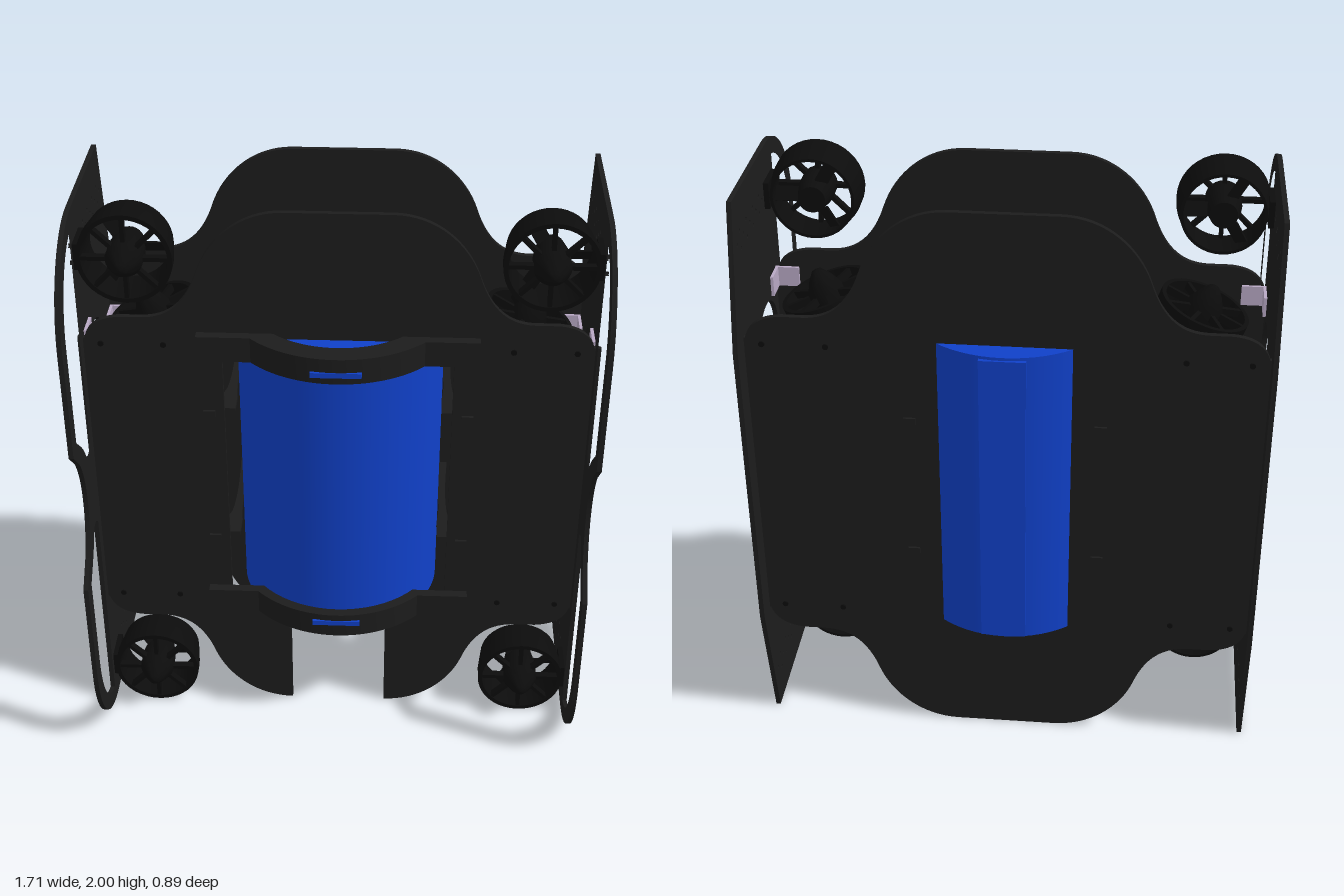
import * as THREE from 'three';
import { toCreasedNormals } from 'three/addons/utils/BufferGeometryUtils.js';

const mat = (color, extra = {}) => {
  const m = new THREE.MeshStandardMaterial({ color });
  return Object.assign(m, extra);
};

export function createModel() {
  const model = new THREE.Group();
  const black = mat(0x1c1c1c);
  const dark = mat(0x0c0c0c, { side: THREE.DoubleSide });
  const blue = mat(0x1040c8);
  const lilac = mat(0xb8a8c4);

  const add = (name, geo, material, parent = model) => {
    const mesh = new THREE.Mesh(geo, material);
    mesh.name = name;
    parent.add(mesh);
    return mesh;
  };
  const box = (name, w, h, d, x, y, z, material, parent) =>
    add(name, new THREE.BoxGeometry(w, h, d).translate(x, y, z), material, parent);
  const extrude = (shape, depth) => toCreasedNormals(
    new THREE.ExtrudeGeometry(shape, { depth, bevelEnabled: false, curveSegments: 20 }), 0.5);
  const mirrored = (pts, flip) => [...pts, ...pts.map(flip).reverse()];
  const flipY = p => new THREE.Vector2(p.x, 2 - p.y);
  const flipX = p => new THREE.Vector2(-p.x, p.y);
  const roundHole = (x, y, r) => new THREE.Path(
    Array.from({ length: 8 }, (_, i) => new THREE.Vector2(
      x + r * Math.cos(i * Math.PI / 4), y + r * Math.sin(i * Math.PI / 4))));

  // Side plates: drawn with z across and y up, then turned to face sideways
  const edge = new THREE.Path();
  edge.moveTo(-0.44, 1);
  edge.lineTo(-0.44, 1.52);
  edge.lineTo(-0.345, 2);
  edge.lineTo(0.13, 2);
  edge.bezierCurveTo(0.31, 2, 0.45, 1.84, 0.45, 1.65);
  edge.lineTo(0.45, 1.27);
  edge.lineTo(0.375, 1.195);
  edge.quadraticCurveTo(0.315, 1.11, 0.315, 1.0);
  const sideShape = new THREE.Shape(mirrored(edge.getPoints(16), flipY));

  // Handle openings
  const grip = new THREE.Path();
  grip.moveTo(0.193, 1.935);
  grip.bezierCurveTo(0.31, 1.91, 0.39, 1.78, 0.39, 1.64);
  grip.lineTo(0.39, 1.29);
  grip.lineTo(0.33, 1.235);
  grip.quadraticCurveTo(0.285, 1.19, 0.275, 1.165);
  grip.quadraticCurveTo(0.24, 1.12, 0.193, 1.17);
  const gripPts = grip.getPoints(14);
  sideShape.holes.push(new THREE.Path(gripPts), new THREE.Path(gripPts.map(flipY)));

  // Long window and rows of small holes
  const slot = new THREE.Path();
  slot.absarc(-0.043, 1.345, 0.145, 0, Math.PI);
  slot.absarc(-0.043, 0.665, 0.145, Math.PI, Math.PI * 2);
  sideShape.holes.push(slot);
  for (const y of [1.845, 0.155]) {
    for (let i = 0; i < 12; i++) {
      const z = 0.15 - i * 0.043;
      for (const dy of i % 2 ? [0] : [-0.03, 0.03]) {
        sideShape.holes.push(roundHole(z, y + dy, 0.007));
      }
    }
  }
  for (const s of [-1, 1]) {
    const geo = extrude(sideShape, 0.016).rotateY(-Math.PI / 2).translate(s * 0.84 + 0.008, 0, 0);
    add(s > 0 ? 'leftSidePlate' : 'rightSidePlate', geo, black);
  }

  // Half outline shared by the front and rear plates, top to bottom
  const half = new THREE.Path();
  half.moveTo(0.17, 2);
  half.bezierCurveTo(0.31, 2, 0.41, 1.9, 0.45, 1.79);
  half.bezierCurveTo(0.49, 1.67, 0.55, 1.62, 0.64, 1.62);
  half.lineTo(0.71, 1.62);
  half.quadraticCurveTo(0.832, 1.61, 0.832, 1.5);
  const upper = half.getPoints(16);
  const halfPts = mirrored(upper, flipY);

  // Rear plate, with an opening for the tube
  const rearShape = new THREE.Shape(mirrored(halfPts, flipX));
  rearShape.holes.push(new THREE.Path([[-0.2, 0.45], [0.2, 0.45], [0.2, 1.55], [-0.2, 1.55]]
    .map(p => new THREE.Vector2(...p))));
  add('rearPlate', extrude(rearShape, 0.018).translate(0, 0, -0.358), black);

  // Front plate, with a bay for the tube that is open at the bottom
  const bay = [[0.17, 0.32], [0.19, 0.365], [0.27, 0.44], [0.38, 0.47], [0.38, 1.53]]
    .map(p => new THREE.Vector2(...p));
  const frontShape = new THREE.Shape(mirrored([...halfPts, ...bay], flipX));
  add('frontPlate', extrude(frontShape, 0.018).translate(0, 0, 0.126), black);

  // Plate tabs, angle brackets and bolts along both sides
  for (const s of [-1, 1]) {
    for (const z of [0.135, -0.349]) {
      box('plateTab', 0.024, 1.08, 0.016, s * 0.838, 1, z, black);
    }
    for (const y of [1.52, 0.48]) {
      box('frontAngleBracket', 0.01, 0.07, 0.09, s * 0.826, y, 0.08, lilac);
      box('frontAngleBracket', 0.08, 0.07, 0.01, s * 0.79, y, 0.12, lilac);
    }
    for (const y of [1.36, 0.64]) {
      box('rearAngleBracket', 0.01, 0.07, 0.1, s * 0.826, y, -0.29, lilac);
      box('rearAngleBracket', 0.09, 0.07, 0.01, s * 0.785, y, -0.335, lilac);
      add('sideBolt', new THREE.CylinderGeometry(0.008, 0.008, 0.006, 10)
        .rotateZ(Math.PI / 2).translate(s * 0.85, y, -0.275), blue);
    }
    for (const y of [1.26, 0.745]) {
      box('bracketTab', 0.04, 0.022, 0.012, s * 0.43, y, 0.148, black);
      box('bracketTab', 0.04, 0.022, 0.012, s * 0.31, y, -0.36, black);
    }
    for (const [x, y] of [[0.775, 1.52], [0.775, 0.48], [0.57, 1.52], [0.57, 0.48]]) {
      for (const z of [0.145, -0.359]) {
        add('plateBolt', new THREE.CylinderGeometry(0.01, 0.01, 0.008, 10)
          .rotateX(Math.PI / 2).translate(s * x, y, z), dark);
      }
    }
  }

  // Main tube
  const tubeZ = -0.083;
  add('mainTube', new THREE.CylinderGeometry(0.35, 0.35, 1.1, 64).translate(0, 1, tubeZ), blue);
  box('rearTubeKey', 0.15, 1.08, 0.02, 0, 1, -0.43, blue);

  // Clamps: an arch with two feet, drawn with x across and z up
  const clampShape = new THREE.Shape();
  clampShape.moveTo(0.46, 0.145);
  clampShape.lineTo(0.46, 0.178);
  clampShape.lineTo(0.285, 0.178);
  const outer = 0.385, inner = 0.31;
  const a0 = Math.asin((0.178 - tubeZ) / outer), b0 = Math.asin((0.145 - tubeZ) / inner);
  clampShape.absarc(0, tubeZ, outer, a0, Math.PI - a0);
  clampShape.lineTo(-0.46, 0.178);
  clampShape.lineTo(-0.46, 0.145);
  clampShape.absarc(0, tubeZ, inner, Math.PI - b0, b0, true);
  for (const y of [1.525, 0.483]) {
    add('tubeClamp', extrude(clampShape, 0.09).rotateX(Math.PI / 2).translate(0, y + 0.045, 0), black);
    box('clampSlot', 0.165, 0.018, 0.02, 0, y < 1 ? y + 0.012 : y - 0.012, 0.295, blue);
  }

  // Thin ribs that cradle the tube between the two plates
  for (const s of [-1, 1]) {
    const rib = new THREE.Shape();
    rib.moveTo(s * 0.25, -0.34);
    rib.lineTo(s * 0.385, -0.34);
    rib.quadraticCurveTo(s * 0.37, -0.1, s * 0.385, 0.0);
    rib.quadraticCurveTo(s * 0.4, 0.06, s * 0.44, 0.1);
    rib.lineTo(s * 0.44, 0.126);
    rib.lineTo(s * 0.345, 0.126);
    rib.lineTo(s * 0.345, 0.04);
    rib.quadraticCurveTo(s * 0.38, -0.2, s * 0.25, -0.325);
    for (const y of [1.26, 0.745]) {
      add('tubeRib', extrude(rib, 0.016).rotateX(Math.PI / 2).translate(0, y + 0.008, 0), black);
    }
  }

  // Thruster pointing along +z: duct, hub, spokes and propeller
  const lathe = (pts, n) => toCreasedNormals(new THREE.LatheGeometry(
    pts.map(p => new THREE.Vector2(...p)), n).rotateX(Math.PI / 2), 0.6);
  const ductGeo = lathe([[0.13, -0.07], [0.14, -0.07], [0.153, 0.02], [0.153, 0.07],
    [0.138, 0.07], [0.133, 0.02], [0.13, -0.07]], 40);
  const hubGeo = lathe([[0, -0.075], [0.045, -0.075], [0.06, 0.0], [0.06, 0.07],
    [0.04, 0.11], [0.018, 0.14], [0, 0.147]], 24);
  const spokeGeo = new THREE.BoxGeometry(0.09, 0.014, 0.025).translate(0.095, 0, 0.055);
  const bladeGeo = new THREE.BoxGeometry(0.075, 0.05, 0.006).rotateX(0.6).translate(0.09, 0, -0.03);
  const thruster = name => {
    const g = new THREE.Group();
    g.name = name;
    add('duct', ductGeo, dark, g);
    add('hub', hubGeo, dark, g);
    for (let i = 0; i < 8; i++) add('spoke', spokeGeo, dark, g).rotation.z = i * Math.PI / 4;
    for (let i = 0; i < 3; i++) add('blade', bladeGeo, dark, g).rotation.z = i * Math.PI * 2 / 3;
    model.add(g);
    return g;
  };
  for (const s of [-1, 1]) {
    for (const v of [-1, 1]) {
      // Corner thrusters face forward
      thruster('forwardThruster').position.set(s * 0.67, 1 + v * 0.845, 0.11);
      box('forwardThrusterMount', 0.02, 0.09, 0.12, s * 0.824, 1 + v * 0.845, 0.11, dark);
      // Inner thrusters face up or down, leaning outward
      const t = thruster('verticalThruster');
      t.position.set(s * 0.605, 1 + v * 0.495, -0.04);
      t.quaternion.setFromUnitVectors(new THREE.Vector3(0, 0, 1),
        new THREE.Vector3(s * 0.36, v, 0).normalize());
      box('verticalThrusterMount', 0.09, 0.08, 0.03, s * 0.605, 1 + v * 0.495, 0.118, dark);
    }
  }
  return model;
}
